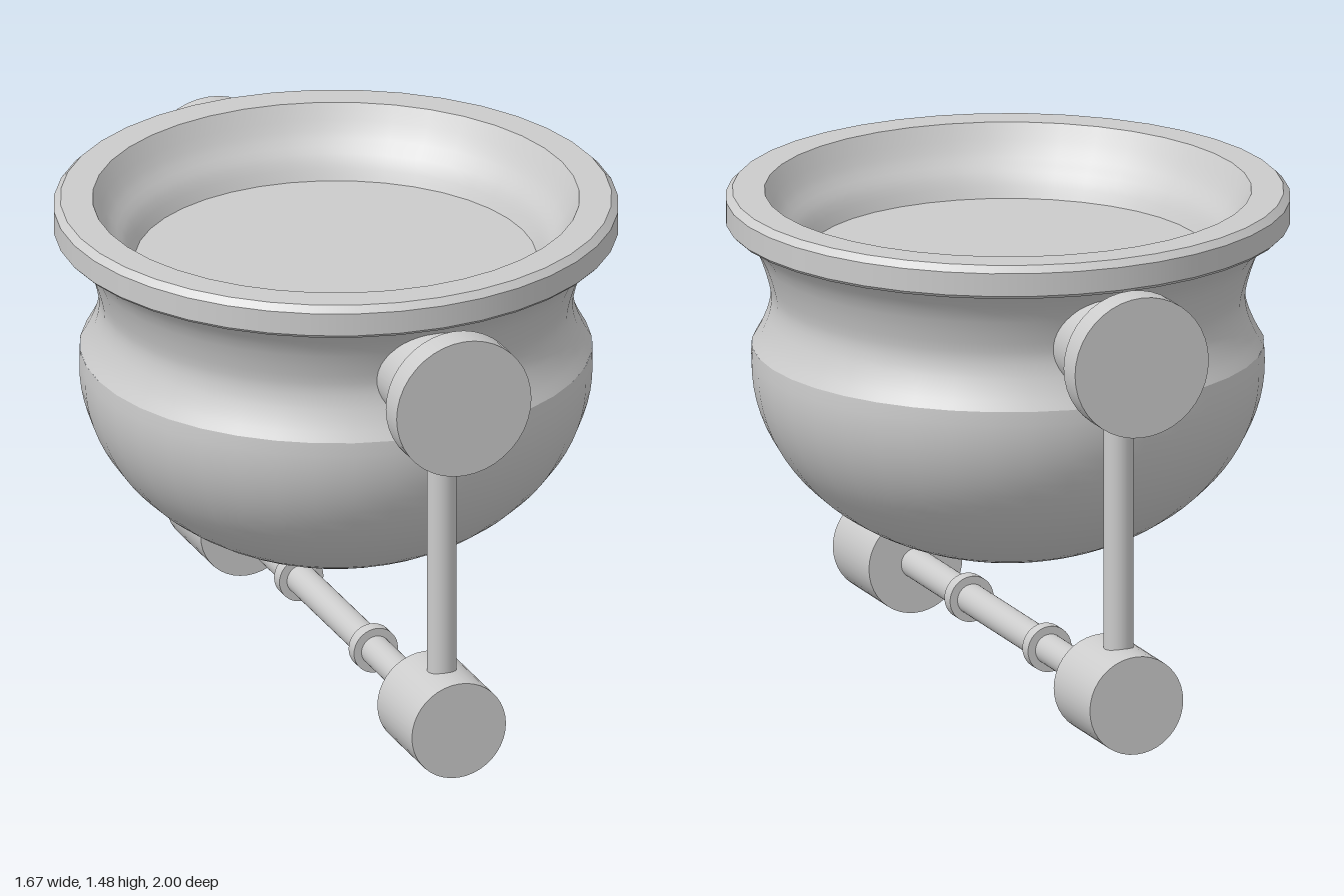
import * as THREE from 'three';

const SEG = 40;
const grey = new THREE.MeshStandardMaterial({ color: 0xcccccc });

function add(parent, name, geometry) {
  const mesh = new THREE.Mesh(geometry, grey);
  mesh.name = name;
  parent.add(mesh);
  return mesh;
}

// Surface of revolution; points run up the outside, then down the inside
const lathe = (parent, name, pts) =>
  add(parent, name, new THREE.LatheGeometry(pts.map(p => new THREE.Vector2(p[0], p[1])), SEG));

// Smooth the given points into a curved profile
const smooth = (pts, n) =>
  new THREE.SplineCurve(pts.map(p => new THREE.Vector2(...p))).getPoints(n).map(p => [p.x, p.y]);

// Cylinder lying along z between two depths
function rod(parent, name, r, z0, z1, y) {
  const g = new THREE.CylinderGeometry(r, r, z1 - z0, SEG).rotateX(Math.PI / 2);
  add(parent, name, g).position.set(0, y, (z0 + z1) / 2);
}

function buildPot() {
  const pot = new THREE.Group();
  pot.name = 'pot';

  // Elliptical bowl, carried slightly past its widest point
  const bowl = [];
  for (let i = 0; i <= 24; i++) {
    const a = (i / 24) * (Math.PI / 2 + 0.08);
    bowl.push([0.76 * Math.sin(a), 0.97 - 0.595 * Math.cos(a)]);
  }
  lathe(pot, 'bowl', bowl);

  // Concave neck between bowl and rim
  lathe(pot, 'neck', smooth([
    [0.757, 1.017], [0.728, 1.07], [0.705, 1.135], [0.705, 1.2], [0.742, 1.31], [0.8, 1.385],
  ], 16));

  // Rim band with chamfered edges, one lathe per facet to keep edges sharp
  const rim = [[0.79, 1.385], [0.825, 1.385], [0.835, 1.395], [0.835, 1.465], [0.815, 1.485], [0.72, 1.485]];
  for (let i = 0; i < rim.length - 1; i++) lathe(pot, 'rim', [rim[i], rim[i + 1]]);

  // Inner wall and the flat surface filling the pot
  lathe(pot, 'innerWall', smooth([[0.72, 1.485], [0.675, 1.405], [0.625, 1.345], [0.595, 1.285]], 10));
  const fill = add(pot, 'contents', new THREE.CircleGeometry(0.597, SEG).rotateX(-Math.PI / 2));
  fill.position.y = 1.286;
  return pot;
}

// Pivot, post and foot on one side
function buildSupport(name) {
  const support = new THREE.Group();
  support.name = name;
  rod(support, 'pivotShaft', 0.15, 0.67, 0.92, 1.2);
  rod(support, 'pivotCap', 0.215, 0.915, 1, 1.2);
  const post = add(support, 'post', new THREE.CylinderGeometry(0.044, 0.044, 0.95, 24));
  post.position.set(0, 0.65, 0.825);
  rod(support, 'foot', 0.15, 0.69, 0.96, 0.152);
  rod(support, 'collar', 0.07, 0.27, 0.312, 0.155);
  return support;
}

export function createModel() {
  const model = new THREE.Group();
  model.name = 'tiltingCauldron';
  model.add(buildPot());

  const front = buildSupport('frontSupport');
  const back = buildSupport('backSupport');
  back.rotation.y = Math.PI;
  model.add(front, back);

  // Bar joining the two feet
  rod(model, 'crossBar', 0.046, -0.7, 0.7, 0.155);
  return model;
}
